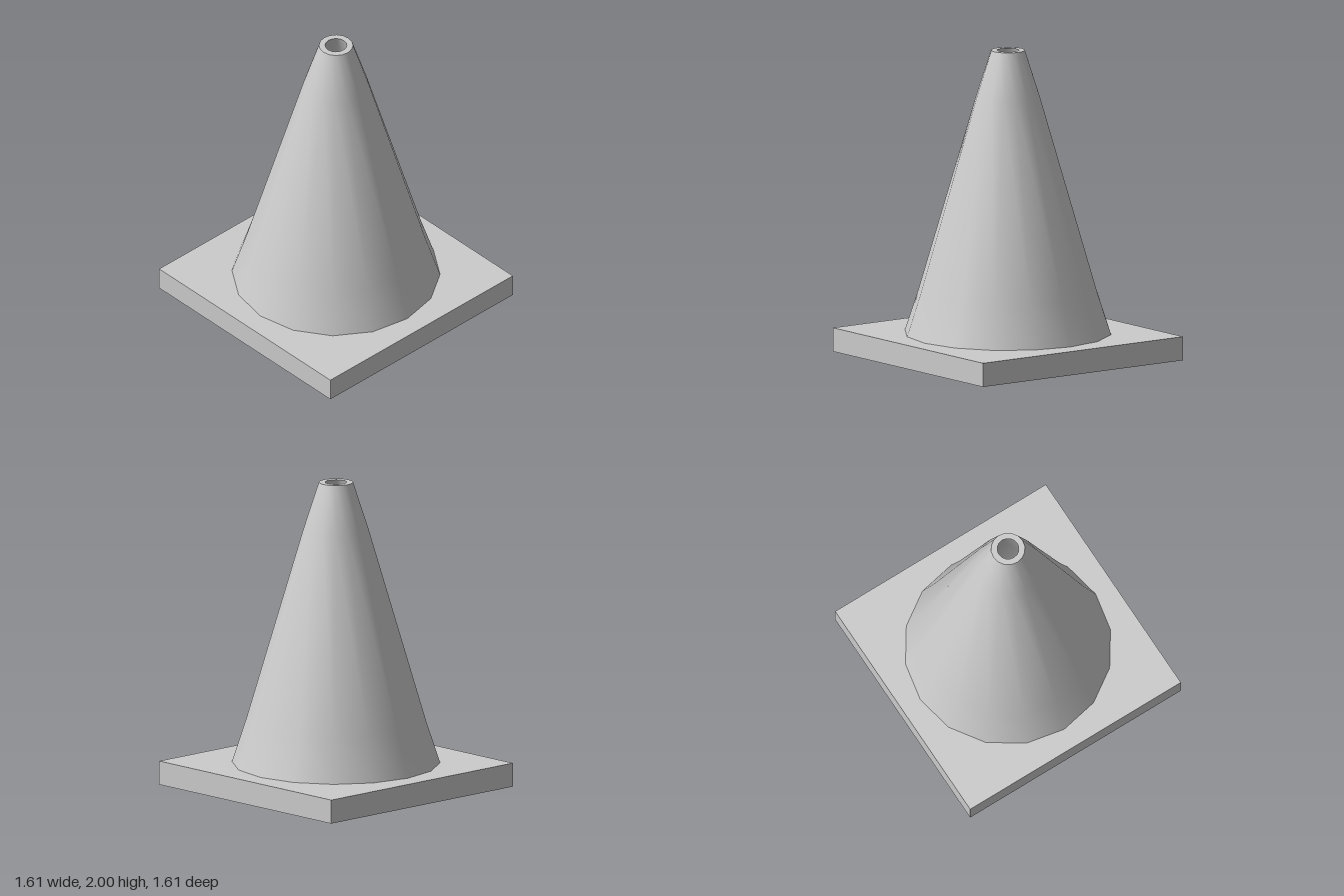
import * as THREE from 'three';

const SIDES = 16;
const BASE_HALF = 0.805, BASE_HEIGHT = 0.155, HOLE = 0.6;

export function createModel() {
  const model = new THREE.Group();
  const material = new THREE.MeshStandardMaterial({ color: 0xcccccc });

  const add = (name, geometry) => {
    const mesh = new THREE.Mesh(geometry, material);
    mesh.name = name;
    model.add(mesh);
    return mesh;
  };
  // Profile of [radius, height]; upwards faces out, downwards faces in
  const lathe = (profile) =>
    new THREE.LatheGeometry(profile.map(([r, y]) => new THREE.Vector2(r, y)), SIDES);

  // Square foot plate with a many-sided opening
  const plate = new THREE.Shape([
    new THREE.Vector2(-BASE_HALF, -BASE_HALF),
    new THREE.Vector2(BASE_HALF, -BASE_HALF),
    new THREE.Vector2(BASE_HALF, BASE_HALF),
    new THREE.Vector2(-BASE_HALF, BASE_HALF),
  ]);
  const opening = [];
  for (let i = 0; i < SIDES; i++) {
    const a = (-i / SIDES) * Math.PI * 2;
    opening.push(new THREE.Vector2(HOLE * Math.cos(a), HOLE * Math.sin(a)));
  }
  plate.holes.push(new THREE.Path(opening));
  const plateGeometry = new THREE.ExtrudeGeometry(plate, { depth: BASE_HEIGHT, bevelEnabled: false });
  plateGeometry.rotateX(-Math.PI / 2);
  add('basePlate', plateGeometry);

  // Hollow cone: outer skin, flat rim and inner skin
  add('coneOuter', lathe([[0.67, BASE_HEIGHT], [0.58, 0.43], [0.21, 1.69], [0.11, 2]]));
  add('coneRim', lathe([[0.11, 2], [0.07, 2]]));
  add('coneInner', lathe([[0.07, 2], [0.17, 1.69], [0.54, 0.43], [HOLE, 0]]));

  return model;
}
